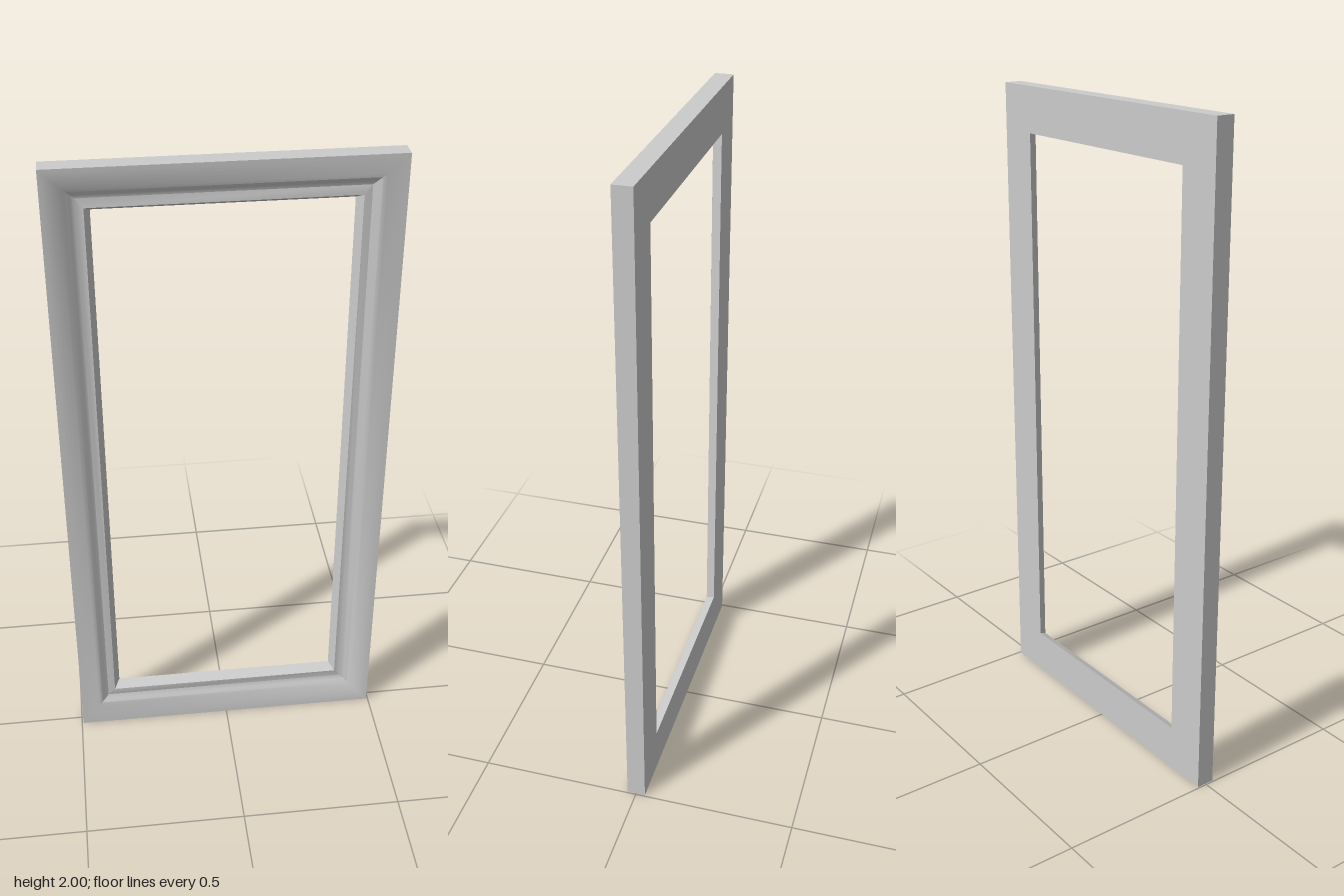
import * as THREE from 'three';
import { toCreasedNormals } from 'three/addons/utils/BufferGeometryUtils.js';

const HALF_W = 0.495, HALF_H = 1, HALF_D = 0.0285;

// Moulding cross-section as [inset from side, inset from top/bottom, z], back to front to back
function mouldingProfile() {
  const points = [[0, 0, -HALF_D]];
  const steps = 8;
  // rounded outer face, falling towards the opening
  for (let i = 0; i <= steps; i++) {
    const t = i / steps;
    points.push([0.092 * t, 0.096 * t, HALF_D - 0.031 * Math.pow(t, 1.8)]);
  }
  points.push([0.115, 0.123, HALF_D - 0.026]); // raised inner lip
  points.push([0.132, 0.14, -HALF_D]); // sloping inner wall down to the back
  return points;
}

// Sweep the cross-section round the rectangle with mitred corners
function sweepFrame(profile) {
  const corners = [[-1, -1], [1, -1], [1, 1], [-1, 1]];
  const positions = [], indices = [];
  for (const [insetX, insetY, z] of profile) {
    for (const [sx, sy] of corners) {
      positions.push(sx * (HALF_W - insetX), HALF_H + sy * (HALF_H - insetY), z);
    }
  }
  const n = profile.length;
  for (let i = 0; i < n; i++) {
    const next = (i + 1) % n; // the last strip closes the flat back
    for (let j = 0; j < 4; j++) {
      const k = (j + 1) % 4;
      const a = i * 4 + j, b = i * 4 + k, c = next * 4 + k, d = next * 4 + j;
      indices.push(a, b, c, a, c, d);
    }
  }
  const geometry = new THREE.BufferGeometry();
  geometry.setAttribute('position', new THREE.Float32BufferAttribute(positions, 3));
  geometry.setIndex(indices);
  return toCreasedNormals(geometry, 0.6);
}

export function createModel() {
  const group = new THREE.Group();
  group.name = 'pictureFrame';
  const material = new THREE.MeshStandardMaterial({ color: 0xcccccc });
  const frame = new THREE.Mesh(sweepFrame(mouldingProfile()), material);
  frame.name = 'frameMoulding';
  group.add(frame);
  return group;
}
